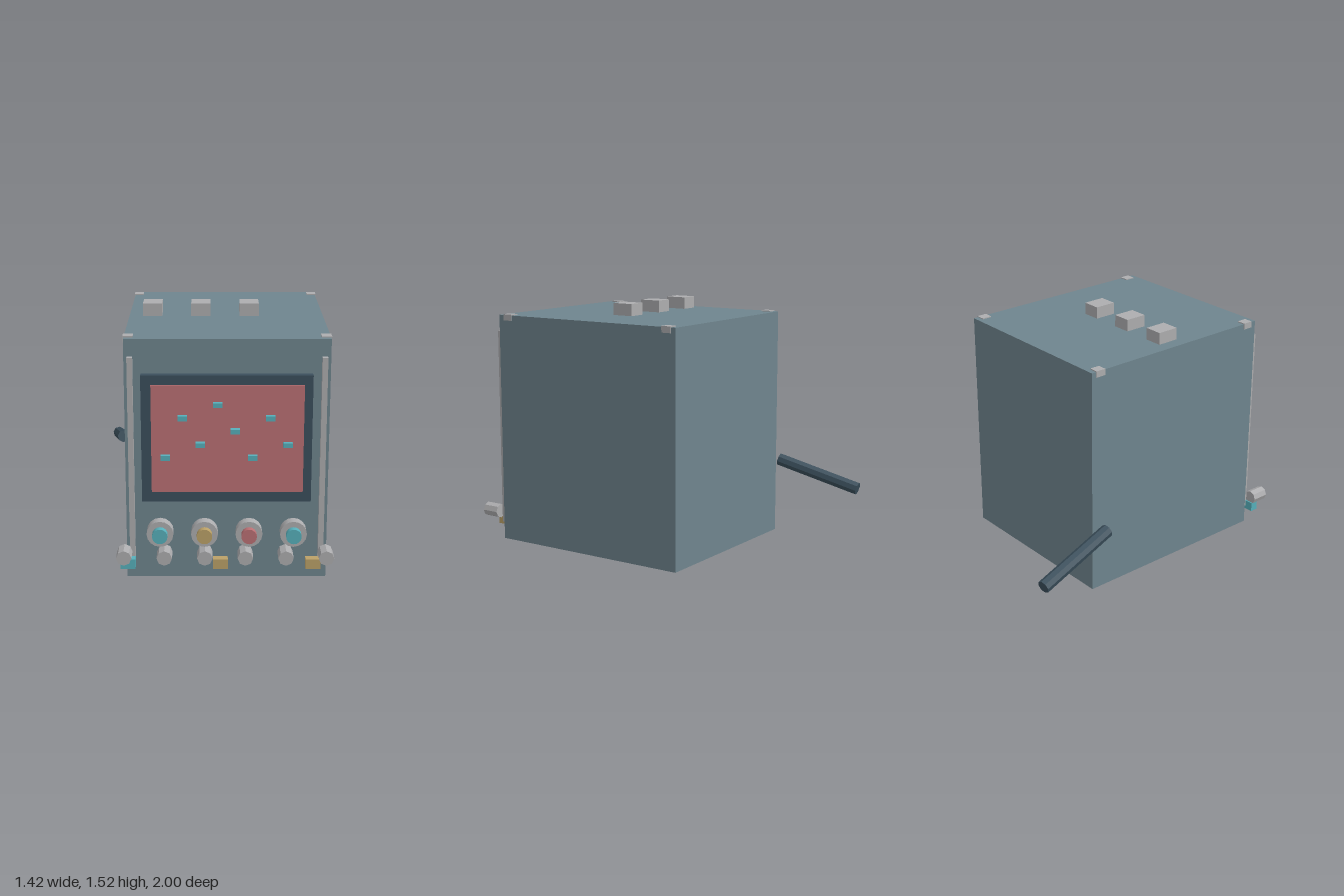
import * as THREE from 'three';

const paint = (name, color) => {
  const m = new THREE.MeshStandardMaterial({ color });
  m.name = name;
  return m;
};

export function createModel() {
  const steel = paint('blue grey', 0x6f858e);
  const dark = paint('dark slate', 0x3b4f5c);
  const grey = paint('light grey', 0xadadaf);
  const red = paint('red', 0xbb7074);
  const cyan = paint('cyan', 0x57b0bb);
  const gold = paint('gold', 0xbba168);

  const model = new THREE.Group();
  model.name = 'machine';
  const add = (name, geometry, material) => {
    const mesh = new THREE.Mesh(geometry, material);
    mesh.name = name;
    model.add(mesh);
    return mesh;
  };
  // box given by its extents along each axis
  const box = (name, material, [x0, x1], [y0, y1], [z0, z1]) =>
    add(name, new THREE.BoxGeometry(x1 - x0, y1 - y0, z1 - z0), material)
      .position.set((x0 + x1) / 2, (y0 + y1) / 2, (z0 + z1) / 2);
  // cylinder pointing forwards
  const dial = (name, material, x, y, r, z0, z1, sides) => {
    const g = new THREE.CylinderGeometry(r, r, z1 - z0, sides).rotateX(Math.PI / 2);
    add(name, sides > 8 ? g : g.toNonIndexed(), material).position.set(x, y, (z0 + z1) / 2);
    if (sides <= 8) model.children.at(-1).geometry.computeVertexNormals();
  };

  // cabinet
  box('cabinet', steel, [-0.5, 0.673], [0, 1.445], [-0.478, 0.855]);

  // screen with its frame and floating chips
  box('screenFrame', dark, [-0.404, 0.572], [0.491, 1.245], [0.855, 0.905]);
  box('screen', red, [-0.347, 0.524], [0.55, 1.19], [0.904, 0.911]);
  const chipHeights = [0.767, 1.002, 0.843, 1.08, 0.924, 0.767, 1.002, 0.843];
  chipHeights.forEach((y, i) => {
    const x = -0.267 + i * 0.1;
    box('screenChip', cyan, [x - 0.027, x + 0.027], [y - 0.014, y + 0.014], [0.913, 0.944]);
  });

  // side rails
  for (const x of [-0.465, 0.638])
    box('rail', grey, [x - 0.016, x + 0.016], [0.1, 1.343], [0.855, 0.887]);

  // large dials with coloured caps
  [cyan, gold, red, cyan].forEach((cap, i) => {
    const x = -0.301 + i * 0.258;
    dial('dialBase', grey, x, 0.305, 0.078, 0.888, 0.952, 16);
    dial('dialCap', cap, x, 0.305, 0.045, 0.952, 0.992, 16);
  });

  // row of small knobs
  for (let i = 0; i < 6; i++)
    dial('smallKnob', grey, -0.511 + i * 0.235, 0.174, 0.045, 0.89, 1, 8);

  // indicator blocks
  [[-0.492, cyan], [0.049, gold], [0.592, gold]].forEach(([x, m]) =>
    box('indicator', m, [x - 0.044, x + 0.044], [0.08, 0.14], [0.883, 0.934]));

  // roof blocks
  for (const x of [-0.36, -0.068, 0.226])
    box('roofBlock', grey, [x - 0.058, x + 0.058], [1.445, 1.52], [0.115, 0.255]);

  // corner brackets
  for (const x of [-0.477, 0.649])
    for (const z of [-0.415, 0.786])
      box('cornerBracket', grey, [x - 0.029, x + 0.029], [1.412, 1.451], [z - 0.032, z + 0.032]);

  // detached lever behind the cabinet
  const a = new THREE.Vector3(-0.602, 0.452, -0.447);
  const b = new THREE.Vector3(-0.675, 0.308, -0.988);
  const rod = new THREE.CylinderGeometry(0.041, 0.041, a.distanceTo(b), 8).toNonIndexed();
  rod.computeVertexNormals();
  const lever = add('lever', rod, dark);
  lever.position.copy(a).add(b).multiplyScalar(0.5);
  lever.quaternion.setFromUnitVectors(new THREE.Vector3(0, 1, 0), a.clone().sub(b).normalize());

  return model;
}
